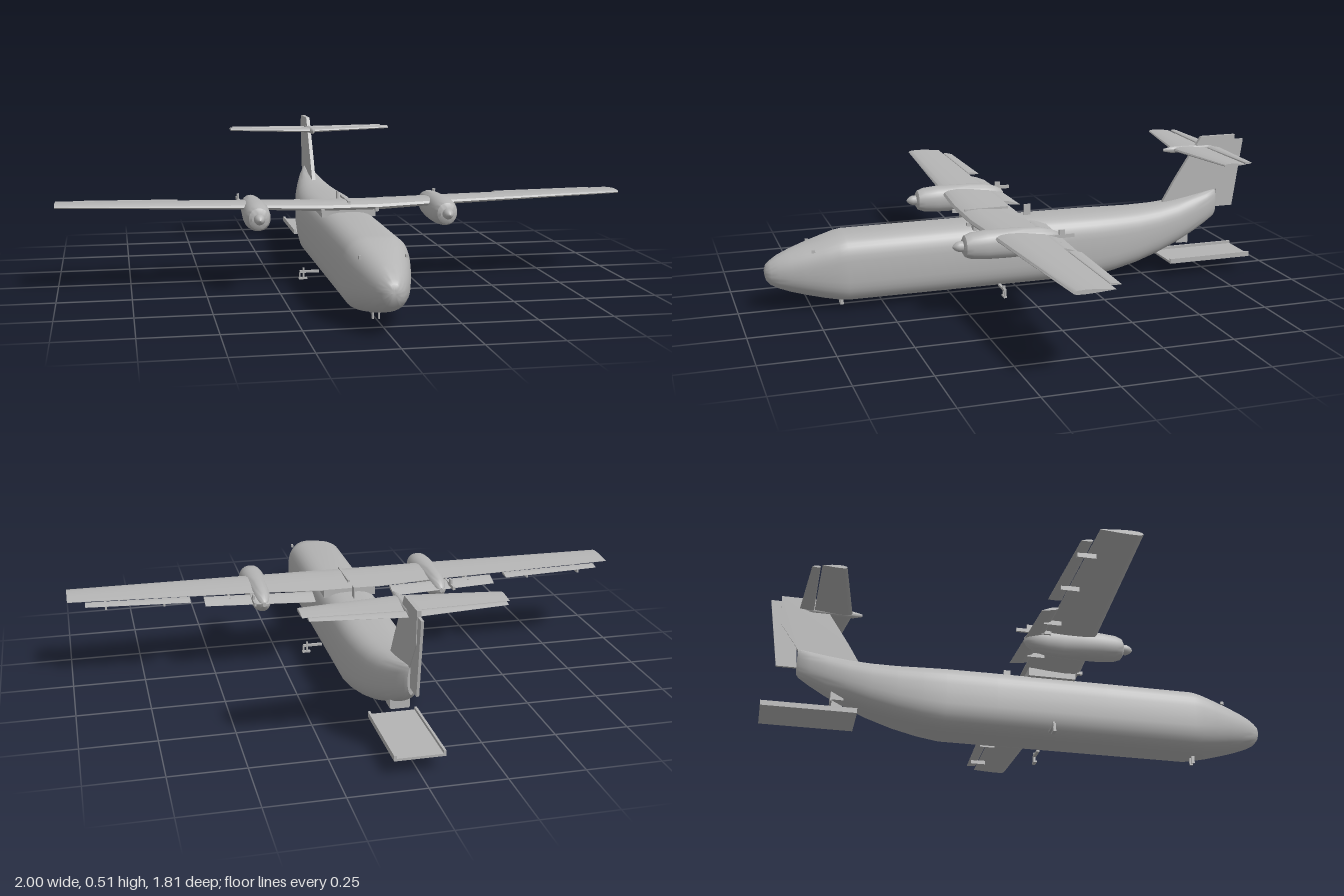
import * as THREE from 'three';
import { toCreasedNormals } from 'three/addons/utils/BufferGeometryUtils.js';

const grey = new THREE.MeshStandardMaterial({ color: 0xb4b4b4 });
grey.name = 'airframe grey';

// Skin between equal-length rings of [x, y, z], closed with fans at both ends
function loft(rings, crease = 0.6) {
  const n = rings[0].length, pos = rings.flat(2), idx = [];
  for (let r = 0; r < rings.length - 1; r++)
    for (let i = 0; i < n; i++) {
      const a = r * n + i, b = r * n + (i + 1) % n;
      idx.push(a, b, b + n, a, b + n, a + n);
    }
  [0, rings.length - 1].forEach((r, end) => {
    const c = [0, 1, 2].map(k => rings[r].reduce((s, p) => s + p[k], 0) / n);
    const ci = pos.length / 3;
    pos.push(...c);
    for (let i = 0; i < n; i++) {
      const a = r * n + i, b = r * n + (i + 1) % n;
      if (end) idx.push(ci, a, b); else idx.push(ci, b, a);
    }
  });
  // turn the skin outwards if its enclosed volume is negative
  let volume = 0;
  const v = i => new THREE.Vector3(...pos.slice(i * 3, i * 3 + 3));
  for (let i = 0; i < idx.length; i += 3)
    volume += v(idx[i]).dot(v(idx[i + 1]).cross(v(idx[i + 2])));
  if (volume < 0) idx.reverse();
  const g = new THREE.BufferGeometry();
  g.setAttribute('position', new THREE.Float32BufferAttribute(pos, 3));
  g.setIndex(idx);
  return toCreasedNormals(g, crease);
}

// Rounded-box body from stations [z, halfWidth, bottom, top, squareness]
function body(stations, x0 = 0, n = 40) {
  return loft(stations.map(([z, w, lo, hi, e]) => Array.from({ length: n }, (_, i) => {
    const t = i / n * Math.PI * 2, c = Math.cos(t), s = Math.sin(t);
    const f = q => Math.sign(q) * Math.abs(q) ** (2 / e);
    return [x0 + w * f(c), (lo + hi) / 2 + (hi - lo) / 2 * f(s), z];
  })));
}

// Aerofoil surface from stations [x, leadingZ, trailingZ, y, thickness]
const PROFILE = [[0, 0], [0.03, 0.5], [0.12, 0.85], [0.3, 1], [0.6, 0.75], [1, 0.06],
  [1, -0.06], [0.6, -0.5], [0.3, -0.7], [0.12, -0.65], [0.03, -0.4]];
function aerofoil(stations, droop = 0) {
  return loft(stations.map(([x, z0, z1, y, t]) =>
    PROFILE.map(([u, h]) => [x, y + h * t * 0.59 - droop * u, z0 + (z1 - z0) * u])));
}

// Upright plate from a [z, y] outline
function plate(outline, thickness) {
  const shape = new THREE.Shape(outline.map(([z, y]) => new THREE.Vector2(-z, y)));
  const g = new THREE.ExtrudeGeometry(shape, { depth: thickness, bevelEnabled: false });
  return g.translate(0, 0, -thickness / 2).rotateY(Math.PI / 2);
}

export function createModel() {
  const model = new THREE.Group();
  model.name = 'transportAircraft';
  const add = (name, geo) => {
    const m = new THREE.Mesh(geo, grey);
    m.name = name;
    model.add(m);
    return m;
  };
  const box = (name, w, h, d, x, y, z) =>
    add(name, new THREE.BoxGeometry(w, h, d).translate(x, y, z));

  // Fuselage with blunt nose and upswept tail
  add('fuselage', body([
    [0.905, 0.008, 0.132, 0.15, 2], [0.9, 0.022, 0.112, 0.167, 2],
    [0.885, 0.036, 0.094, 0.18, 2], [0.86, 0.05, 0.08, 0.196, 2.1],
    [0.82, 0.066, 0.065, 0.213, 2.2], [0.77, 0.081, 0.051, 0.23, 2.4],
    [0.71, 0.096, 0.037, 0.247, 2.7], [0.66, 0.106, 0.028, 0.26, 3],
    [0.63, 0.109, 0.025, 0.264, 3.2], [0.3, 0.109, 0.025, 0.265, 3.2],
    [-0.1, 0.109, 0.025, 0.265, 3.2], [-0.28, 0.109, 0.025, 0.264, 3.2],
    [-0.36, 0.104, 0.036, 0.263, 3.1], [-0.45, 0.095, 0.055, 0.263, 2.9],
    [-0.54, 0.083, 0.082, 0.267, 2.7], [-0.62, 0.069, 0.113, 0.276, 2.5],
    [-0.69, 0.053, 0.145, 0.288, 2.4], [-0.75, 0.036, 0.178, 0.3, 2.3],
    [-0.785, 0.022, 0.2, 0.307, 2.2], [-0.795, 0.012, 0.212, 0.305, 2]]));

  // Main wing with straight centre section and slight dihedral
  add('wing', aerofoil([
    [-1, 0.155, 0.022, 0.304, 0.014], [-0.33, 0.19, 0.01, 0.29, 0.026],
    [-0.11, 0.203, 0, 0.283, 0.032], [0.11, 0.203, 0, 0.283, 0.032],
    [0.33, 0.19, 0.01, 0.29, 0.026], [1, 0.155, 0.022, 0.304, 0.014]]));
  box('wingFairing', 0.19, 0.03, 0.17, 0, 0.264, 0.1);
  box('wingCentreStrip', 0.008, 0.008, 0.16, 0, 0.3, 0.11);
  box('dorsalAntenna', 0.005, 0.04, 0.025, 0, 0.285, -0.045);

  // Fin, rudder and tailplane
  add('fin', plate([[-0.573, 0.265], [-0.62, 0.345], [-0.728, 0.511], [-0.866, 0.511],
    [-0.86, 0.4], [-0.792, 0.3], [-0.77, 0.25]], 0.014));
  add('rudder', plate([[-0.795, 0.237], [-0.866, 0.237], [-0.902, 0.492],
    [-0.862, 0.492], [-0.8, 0.32]], 0.009));
  add('tailplane', aerofoil([
    [-0.325, -0.662, -0.745, 0.472, 0.011], [0, -0.612, -0.748, 0.467, 0.018],
    [0.325, -0.662, -0.745, 0.472, 0.011]]));
  add('tailplaneFairing', body([[-0.577, 0.003, 0.463, 0.473, 2], [-0.61, 0.01, 0.455, 0.48, 2],
    [-0.75, 0.012, 0.455, 0.48, 2], [-0.8, 0.004, 0.462, 0.474, 2]], 0, 16));

  // Lowered cargo ramp with side rails, and the open ramp door above it
  box('ramp', 0.16, 0.008, 0.325, 0, 0.055, -0.745);
  box('rampDoor', 0.06, 0.08, 0.006, 0, 0.152, -0.67);

  for (const s of [-1, 1]) {
    box('rampRail', 0.008, 0.018, 0.325, s * 0.078, 0.06, -0.745);
    box('rampDoorSide', 0.006, 0.06, 0.045, s * 0.03, 0.145, -0.65);

    // Trailing-edge flaps, ailerons and elevators
    add('flap', aerofoil([[s * 0.143, 0.001, -0.066, 0.28, 0.012],
      [s * 0.53, 0.014, -0.042, 0.288, 0.01]], 0.014));
    add('aileron', aerofoil([[s * 0.58, 0.012, -0.034, 0.293, 0.009],
      [s * 0.94, 0.017, -0.02, 0.3, 0.007]], 0.004));
    add('elevator', aerofoil([[s * 0.012, -0.75, -0.8, 0.467, 0.011],
      [s * 0.31, -0.75, -0.778, 0.472, 0.008]]));
    for (const x of [0.2, 0.44, 0.67, 0.87])
      box('hingeBracket', 0.007, 0.016, 0.06, s * x, 0.272 + x * 0.018, 0.015);

    // Engine nacelle lying under and through the wing
    const x = s * 0.325;
    add('nacelle', body([[0.29, 0.024, 0.242, 0.29, 2], [0.283, 0.034, 0.23, 0.303, 2.1],
      [0.26, 0.042, 0.222, 0.311, 2.2], [0.21, 0.045, 0.218, 0.315, 2.3],
      [0.14, 0.042, 0.216, 0.315, 2.3], [0.08, 0.037, 0.216, 0.314, 2.3],
      [0.02, 0.034, 0.22, 0.31, 2.2], [-0.02, 0.028, 0.23, 0.3, 2.1],
      [-0.045, 0.018, 0.245, 0.288, 2], [-0.055, 0.006, 0.258, 0.276, 2]], x, 28));
    const spinner = new THREE.LatheGeometry([[0, -0.035], [0.012, -0.035], [0.018, -0.01],
      [0.018, 0.008], [0.014, 0.018], [0.008, 0.026], [0, 0.031]]
      .map(p => new THREE.Vector2(...p)), 20);
    add('spinner', spinner.rotateX(Math.PI / 2).translate(x, 0.267, 0.295));
    box('exhaustPipe', 0.008, 0.012, 0.12, s * 0.362, 0.283, -0.03);
    box('flapTrackEnd', 0.007, 0.026, 0.02, s * 0.362, 0.292, -0.045);

    // Main gear arm with its short leg and foot
    box('gearArm', 0.07, 0.008, 0.01, s * 0.125, 0.04, 0.09);
    box('gearLeg', 0.006, 0.04, 0.008, s * 0.146, 0.034, 0.09);
    box('gearFoot', 0.03, 0.006, 0.012, s * 0.148, 0.016, 0.09);
    box('gearTip', 0.005, 0.025, 0.008, s * 0.159, 0.026, 0.09);

    // Small probes on the nose and lugs at the wing root
    box('noseProbe', 0.008, 0.01, 0.012, s * 0.073, 0.22, 0.745);
    box('wingRootLug', 0.012, 0.012, 0.02, s * 0.095, 0.275, 0.2);
    box('noseGearStub', 0.005, 0.03, 0.012, s * 0.01, 0.015, 0.643);
  }
  return model;
}
